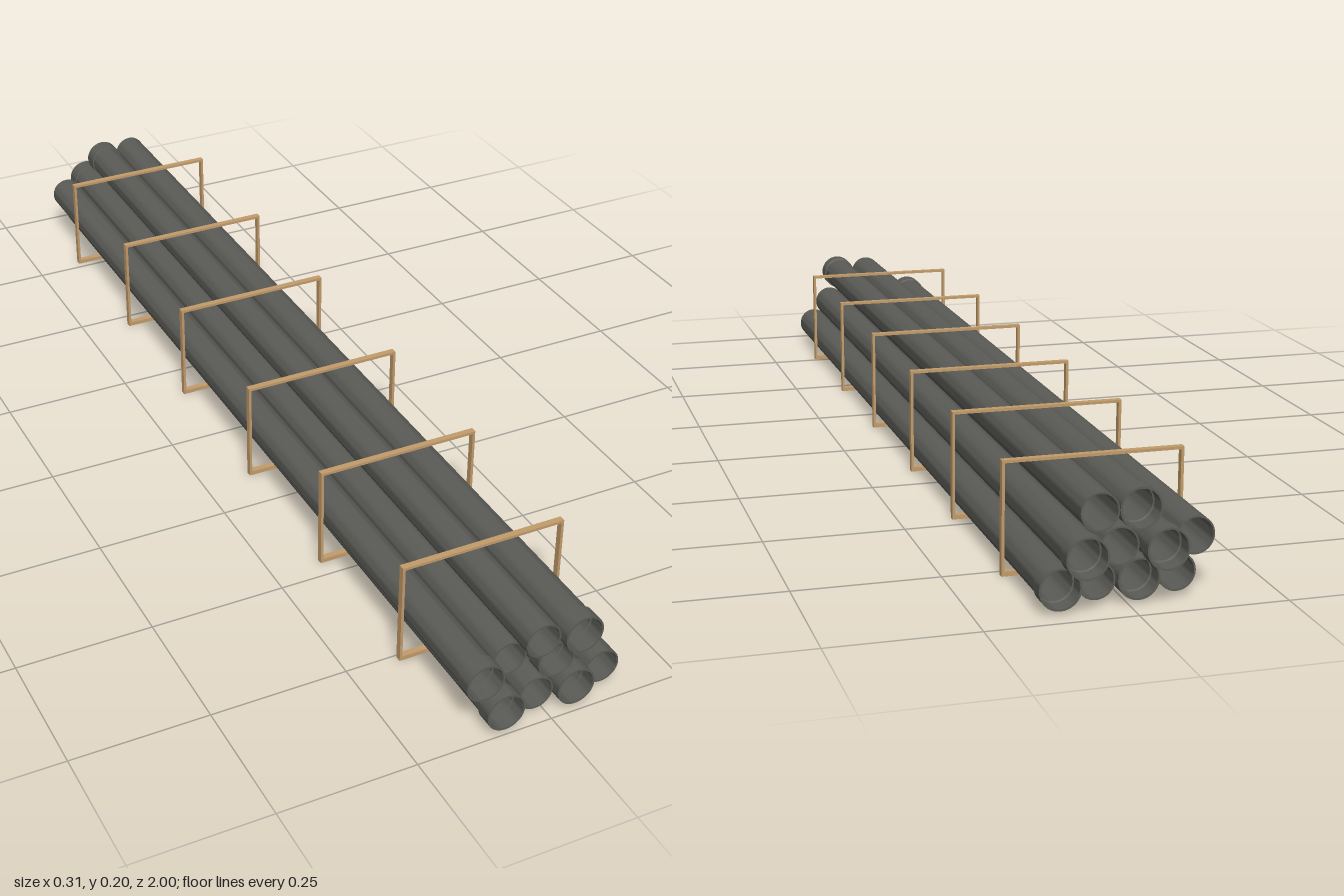
import * as THREE from 'three';
import { toCreasedNormals } from 'three/addons/utils/BufferGeometryUtils.js';

const BODY = 0.0322, BORE = 0.0292, COLLAR = 0.0353, COLLAR_BORE = 0.0318, COLLAR_LENGTH = 0.03;

// Hollow pipe along +z with a wider socket collar at its far end.
function pipeGeometry(length) {
  const h = length / 2, c = h - COLLAR_LENGTH;
  const profile = [
    [BORE, -h], [BODY, -h], [BODY, c - 0.001], [COLLAR, c], [COLLAR, h],
    [COLLAR_BORE, h], [COLLAR_BORE, c], [BORE, c - 0.001], [BORE, -h],
  ].map(([r, y]) => new THREE.Vector2(r, y));
  const geometry = new THREE.LatheGeometry(profile, 32);
  geometry.rotateX(Math.PI / 2);
  return toCreasedNormals(geometry, 0.5);
}

// Rectangular strap with an open middle.
function strapGeometry() {
  const rect = (path, x, y0, y1) =>
    path.moveTo(-x, y0).lineTo(x, y0).lineTo(x, y1).lineTo(-x, y1).closePath();
  const shape = new THREE.Shape();
  rect(shape, 0.156, 0, 0.197);
  const hole = new THREE.Path();
  rect(hole, 0.151, 0.008, 0.192);
  shape.holes.push(hole);
  const depth = 0.012;
  return new THREE.ExtrudeGeometry(shape, { depth, bevelEnabled: false }).translate(0, 0, -depth / 2);
}

export function createModel() {
  const model = new THREE.Group();
  model.name = 'pipeBundle';
  const steel = new THREE.MeshStandardMaterial({ color: 0x5b5b57 });
  steel.name = 'darkSteel';
  const tan = new THREE.MeshStandardMaterial({ color: 0xc29c6b });
  tan.name = 'tanStrap';

  // Pipes: x, y, back z, front z, collar end (1 front, -1 back), tilt
  const pipes = [
    [-0.085, 0.041, -0.935, 0.995, 1, 0],
    [-0.017, 0.041, -0.95, 0.975, -1, 0],
    [0.051, 0.041, -0.94, 0.99, 1, 0],
    [0.117, 0.041, -0.965, 0.965, -1, 0],
    [-0.118, 0.1, -0.93, 0.98, 1, -0.003],
    [-0.05, 0.1, -0.99, 0.94, -1, 0],
    [0.018, 0.1, -0.955, 0.975, 1, 0],
    [0.085, 0.1, -1, 0.93, -1, 0],
    [-0.017, 0.158, -0.955, 0.985, -1, 0],
    [0.051, 0.158, -0.955, 1, 1, 0],
  ];
  pipes.forEach(([x, y, back, front, end, tilt], i) => {
    const pipe = new THREE.Mesh(pipeGeometry(front - back), steel);
    pipe.name = `pipe${i + 1}`;
    pipe.position.set(x, y, (front + back) / 2);
    pipe.rotation.set(tilt, end > 0 ? 0 : Math.PI, 0);
    model.add(pipe);
  });

  // Straps around the bundle
  const strap = strapGeometry();
  [-0.77, -0.465, -0.165, 0.155, 0.46, 0.76].forEach((z, i) => {
    const mesh = new THREE.Mesh(strap, tan);
    mesh.name = `strap${i + 1}`;
    mesh.position.z = z;
    model.add(mesh);
  });
  return model;
}
